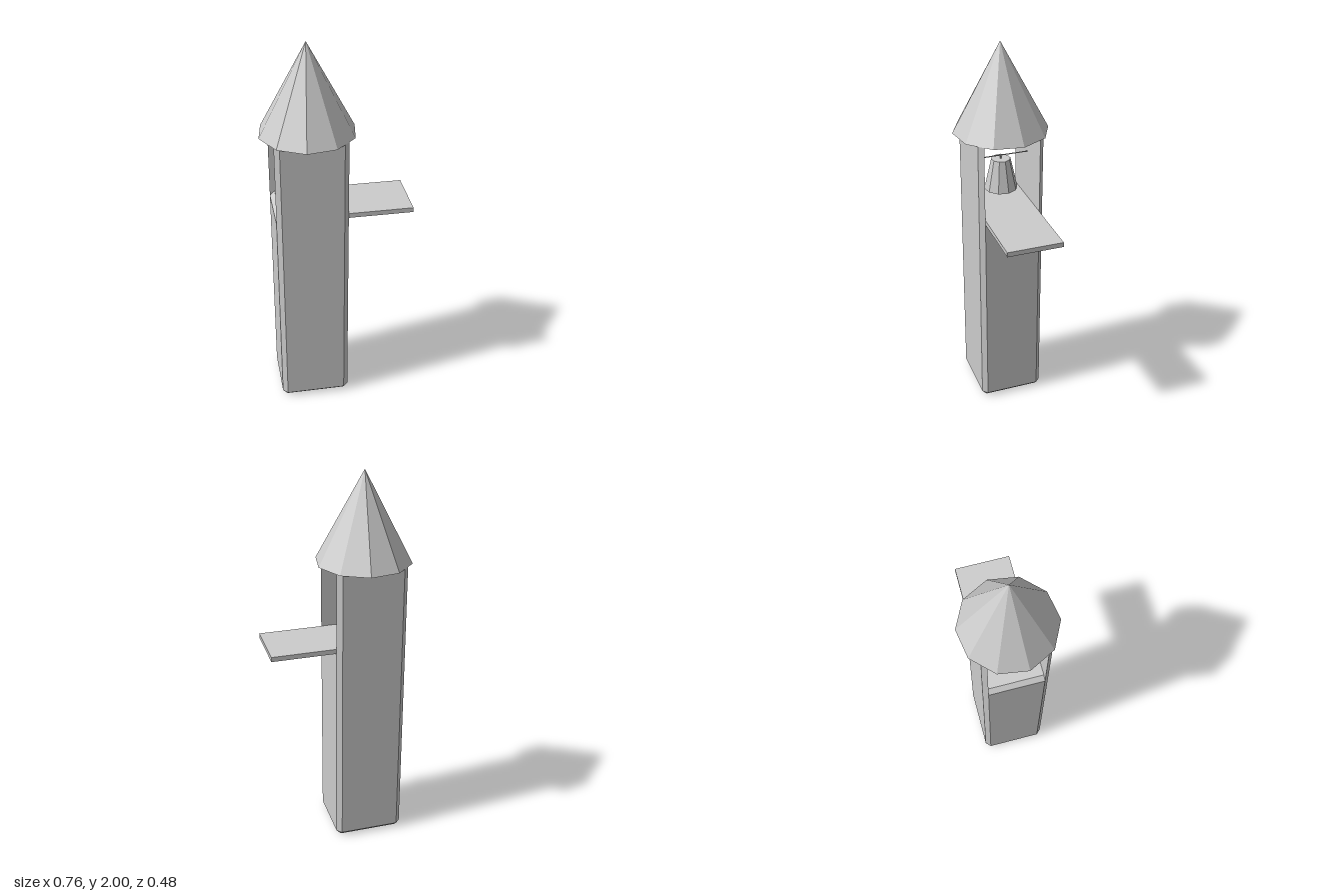
import * as THREE from 'three';
import { ConvexGeometry } from 'three/addons/geometries/ConvexGeometry.js';

export function createModel() {
  const model = new THREE.Group();
  const tower = new THREE.Group();
  tower.name = 'tower';
  tower.position.x = -0.136;
  model.add(tower);

  const material = new THREE.MeshStandardMaterial({ color: 0xcccccc, flatShading: true });
  const openMaterial = material.clone();
  openMaterial.side = THREE.DoubleSide;
  const add = (name, geometry, y = 0, mat = material) => {
    const mesh = new THREE.Mesh(geometry, mat);
    mesh.name = name;
    mesh.position.y = y;
    tower.add(mesh);
    return mesh;
  };

  // Half sizes of the shaft: outer faces and the faces inside the bevel
  const X = 0.182, Z = 0.17, BEVEL = 0.025;
  const x = X - BEVEL, z = Z - BEVEL;
  const sillBottom = 1.115, sillTop = 1.14, eaves = 1.54;
  const turn = THREE.MathUtils.degToRad(-8.8);

  // Shaft with bevelled corners and bevelled foot
  const points = [];
  for (const sx of [-1, 1]) for (const sz of [-1, 1]) {
    points.push(new THREE.Vector3(sx * x, 0, sz * z));
    for (const y of [BEVEL, sillBottom]) {
      points.push(new THREE.Vector3(sx * X, y, sz * z), new THREE.Vector3(sx * x, y, sz * Z));
    }
  }
  add('shaft', new ConvexGeometry(points));

  // Thin front and back walls of the belfry
  for (const [side, name] of [[1, 'frontWall'], [-1, 'backWall']]) {
    const wall = [];
    for (const sx of [-1, 1]) for (const y of [sillBottom, eaves]) {
      wall.push(new THREE.Vector3(sx * X, y, side * z), new THREE.Vector3(sx * x, y, side * Z));
    }
    add(name, new ConvexGeometry(wall));
  }

  // Belfry floor, bevelled on one side and running out as a plank on the other
  const profile = new THREE.Shape([
    [-X, sillBottom], [0.514, sillBottom], [0.514, sillTop], [-x, sillTop],
  ].map(([px, py]) => new THREE.Vector2(px, py)));
  const floor = new THREE.ExtrudeGeometry(profile, { depth: 2 * z, bevelEnabled: false });
  floor.translate(0, 0, -z);
  add('floorAndPlank', floor);

  // Ten-sided pointed roof
  add('roof', new THREE.ConeGeometry(0.245, 2 - eaves, 10), (2 + eaves) / 2).rotation.y = turn;

  // Bell hanging from a thin crossbar
  const bar = new THREE.CylinderGeometry(0.003, 0.003, 2 * z, 6);
  bar.rotateX(Math.PI / 2);
  add('crossbar', bar, 1.4);
  add('hanger', new THREE.CylinderGeometry(0.005, 0.005, 0.03, 6), 1.39);
  const bell = new THREE.LatheGeometry(
    [[0.087, 1.218], [0.05, 1.383], [0, 1.383]].map(([r, y]) => new THREE.Vector2(r, y)), 10);
  add('bell', bell, 0, openMaterial).rotation.y = turn;
  add('clapperRod', new THREE.CylinderGeometry(0.005, 0.005, 0.16, 6), 1.303);
  add('clapper', new THREE.CylinderGeometry(0.012, 0.017, 0.025, 8), 1.217);

  return model;
}
